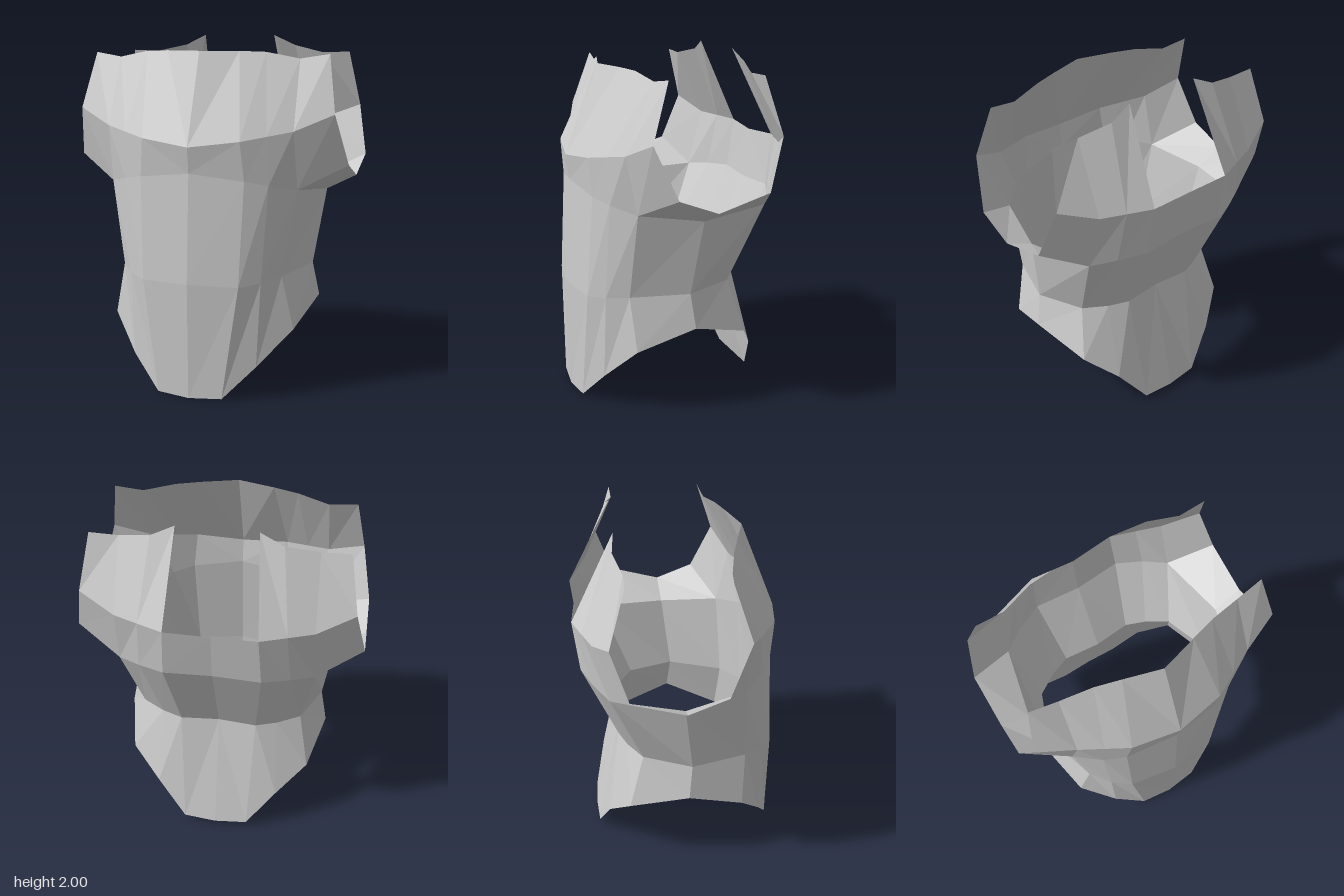
import * as THREE from 'three';

// Cross-sections of the left half, running front centre -> side -> back centre
const frontTop = [[0, 1.92, 0.375], [0.21, 1.92, 0.315], [0.35, 1.915, 0.275], [0.53, 1.88, 0.237], [0.69, 1.905, 0.217]];
const frontChest = [[0, 1.415, 0.575], [0.28, 1.45, 0.53], [0.41, 1.475, 0.465], [0.54, 1.5, 0.4], [0.745, 1.59, 0.32]];
const backTop = [[0.69, 1.905, -0.32], [0.53, 1.9, -0.317], [0.35, 1.94, -0.36], [0.22, 2, -0.345]];
const backChest = [[0.745, 1.59, -0.41], [0.54, 1.51, -0.49], [0.4, 1.505, -0.54], [0.255, 1.5, -0.59], [0, 1.485, -0.572]];
const armhole = [[0.803, 1.305, 0.2], [0.805, 1.22, -0.02], [0.803, 1.305, -0.315]];
const ribs = [
  [0, 1.27, 0.555], [0.3, 1.235, 0.51], [0.42, 1.21, 0.45], [0.55, 1.175, 0.335], [0.64, 1.135, -0.01],
  [0.55, 1.168, -0.41], [0.42, 1.19, -0.49], [0.27, 1.205, -0.555], [0, 1.2, -0.535],
];
const waist = [
  [0, 0.66, 0.592], [0.28, 0.655, 0.545], [0.385, 0.67, 0.47], [0.475, 0.69, 0.36], [0.575, 0.705, 0.04],
  [0.47, 0.72, -0.23], [0.34, 0.72, -0.31], [0.22, 0.72, -0.355], [0, 0.72, -0.335],
];
const hem = [
  [0, 0, 0.58], [0.19, 0.01, 0.56], [0.365, 0.19, 0.48], [0.54, 0.385, 0.34], [0.612, 0.51, 0.02],
  [0.53, 0.415, -0.315], [0.36, 0.26, -0.43], [0.19, 0.04, -0.49], [0, 0.03, -0.5],
];

// Joins two equal rows with quads, on both sides of the body, facing outward
function strip(top, bottom) {
  const out = [];
  for (const side of [1, -1]) {
    const put = (a, b, c) => {
      for (const p of side > 0 ? [a, b, c] : [a, c, b]) out.push(p[0] * side, p[1], p[2]);
    };
    for (let i = 0; i < top.length - 1; i++) {
      put(bottom[i], bottom[i + 1], top[i + 1]);
      put(bottom[i], top[i + 1], top[i]);
    }
  }
  const geometry = new THREE.BufferGeometry();
  geometry.setAttribute('position', new THREE.Float32BufferAttribute(out, 3));
  geometry.computeVertexNormals();
  return geometry;
}

export function createModel() {
  const group = new THREE.Group();
  group.name = 'torsoArmor';
  const plate = new THREE.MeshStandardMaterial({ color: 0xcccccc, side: THREE.DoubleSide, flatShading: true });
  plate.name = 'plate grey';
  const add = (name, top, bottom) => {
    const mesh = new THREE.Mesh(strip(top, bottom), plate);
    mesh.name = name;
    group.add(mesh);
  };

  // Collar panels; the back one leaves a notch in the middle
  add('frontCollar', frontTop, frontChest);
  add('backCollar', backTop, backChest.slice(0, 4));
  // Chest bands widening to the armholes
  add('frontChestBand', frontChest, [...ribs.slice(0, 4), armhole[0]]);
  add('backChestBand', backChest, [armhole[2], ...ribs.slice(5)]);
  // Underarm flanges
  add('underarms', armhole, ribs.slice(3, 6));
  // Lower body
  add('ribcage', ribs, waist);
  add('skirt', waist, hem);
  return group;
}
